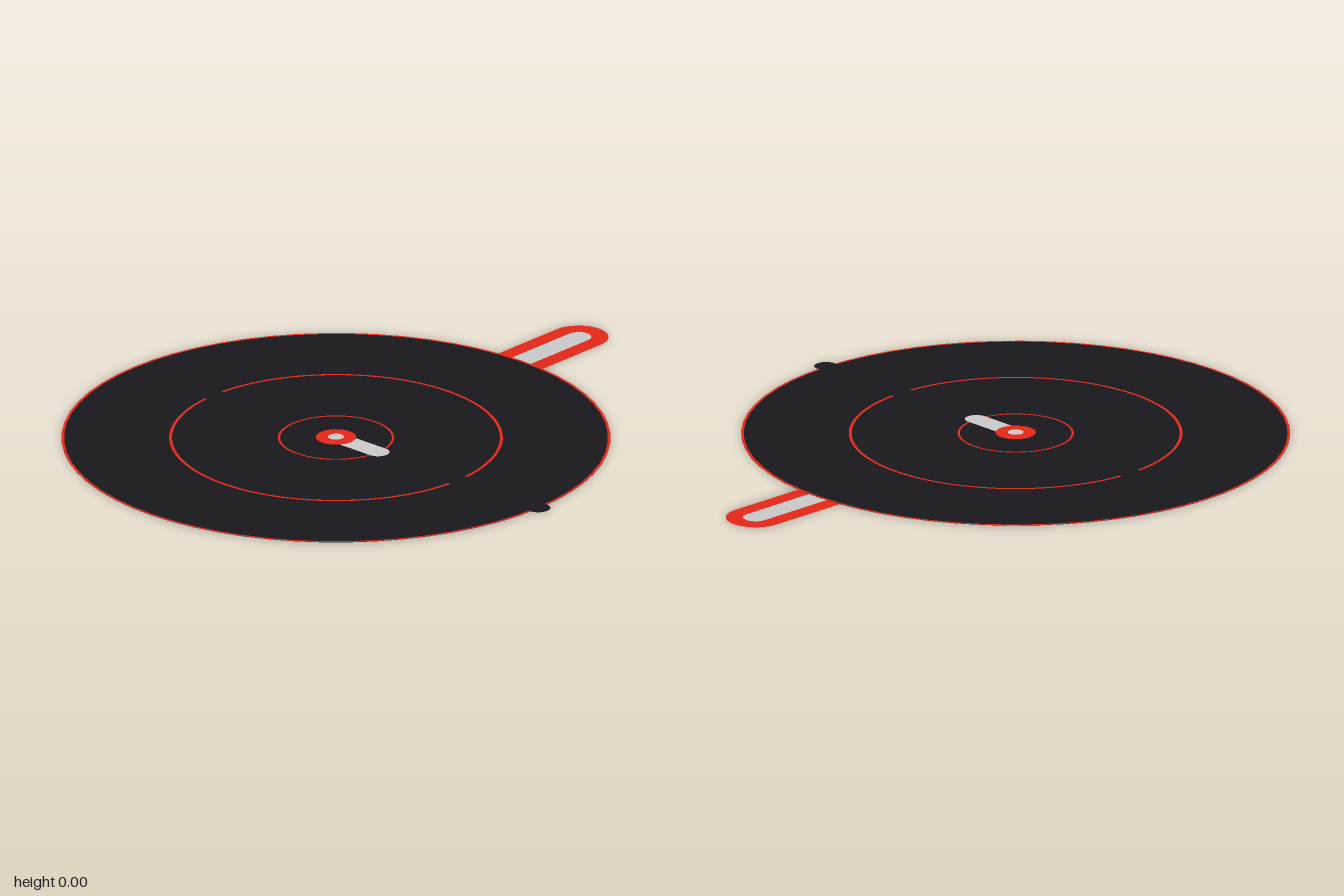
import * as THREE from 'three';

const RED = 0xe62718, BLACK = 0x18191d, GREY = 0xcccccc;
const CX = -0.019, CZ = 0.172; // centre of the dial
const R = 0.826;
const STEP = 0.001; // height between the flat layers

export function createModel() {
  const model = new THREE.Group();
  const dial = new THREE.Group();
  dial.name = 'dial';
  dial.position.set(CX, 0, CZ);
  model.add(dial);

  // Lays a flat geometry drawn in x/y onto the given layer
  function add(name, geometry, color, layer) {
    geometry.rotateX(-Math.PI / 2);
    const material = new THREE.MeshStandardMaterial({ color, side: THREE.DoubleSide });
    const mesh = new THREE.Mesh(geometry, material);
    mesh.name = name;
    mesh.position.y = layer * STEP;
    dial.add(mesh);
    return mesh;
  }

  // Strip along +x with a square start and a round end
  function strip(start, capCentre, halfWidth) {
    const s = new THREE.Shape();
    s.moveTo(start, -halfWidth);
    s.lineTo(capCentre, -halfWidth);
    s.absarc(capCentre, 0, halfWidth, -Math.PI / 2, Math.PI / 2, false);
    s.lineTo(start, halfWidth);
    s.closePath();
    return new THREE.ShapeGeometry(s, 24);
  }

  // Handle with its inlay, pointing to the back
  add('handle', strip(0.785, 1.082, 0.09).rotateZ(Math.PI / 2), RED, 0);
  add('handleInlay', strip(0.785, 1.082, 0.038).rotateZ(Math.PI / 2), GREY, 0.5);

  // Dial plate and its rings
  add('plate', new THREE.CircleGeometry(R, 64), BLACK, 1);
  add('outerRing', new THREE.RingGeometry(R - 0.008, R, 64), RED, 2);
  add('innerRing', new THREE.RingGeometry(0.168, 0.175, 64), RED, 2);

  // Middle ring, split at both sides
  const gap = Math.asin(0.037 / 0.5);
  for (const [name, start] of [['middleRingBack', 0], ['middleRingFront', Math.PI]]) {
    add(name, new THREE.RingGeometry(0.493, 0.502, 48, 1, start + gap, Math.PI - 2 * gap), RED, 2);
  }

  // Small knob on the rim
  add('rimKnob', new THREE.CircleGeometry(0.036, 32), BLACK, 3).position.x = 0.825;

  // Pointer and hub
  add('pointer', strip(0, 0.171, 0.035), GREY, 3);
  add('hub', new THREE.CircleGeometry(0.061, 32), RED, 4);
  add('hubCap', new THREE.CircleGeometry(0.024, 24), GREY, 5);

  return model;
}
